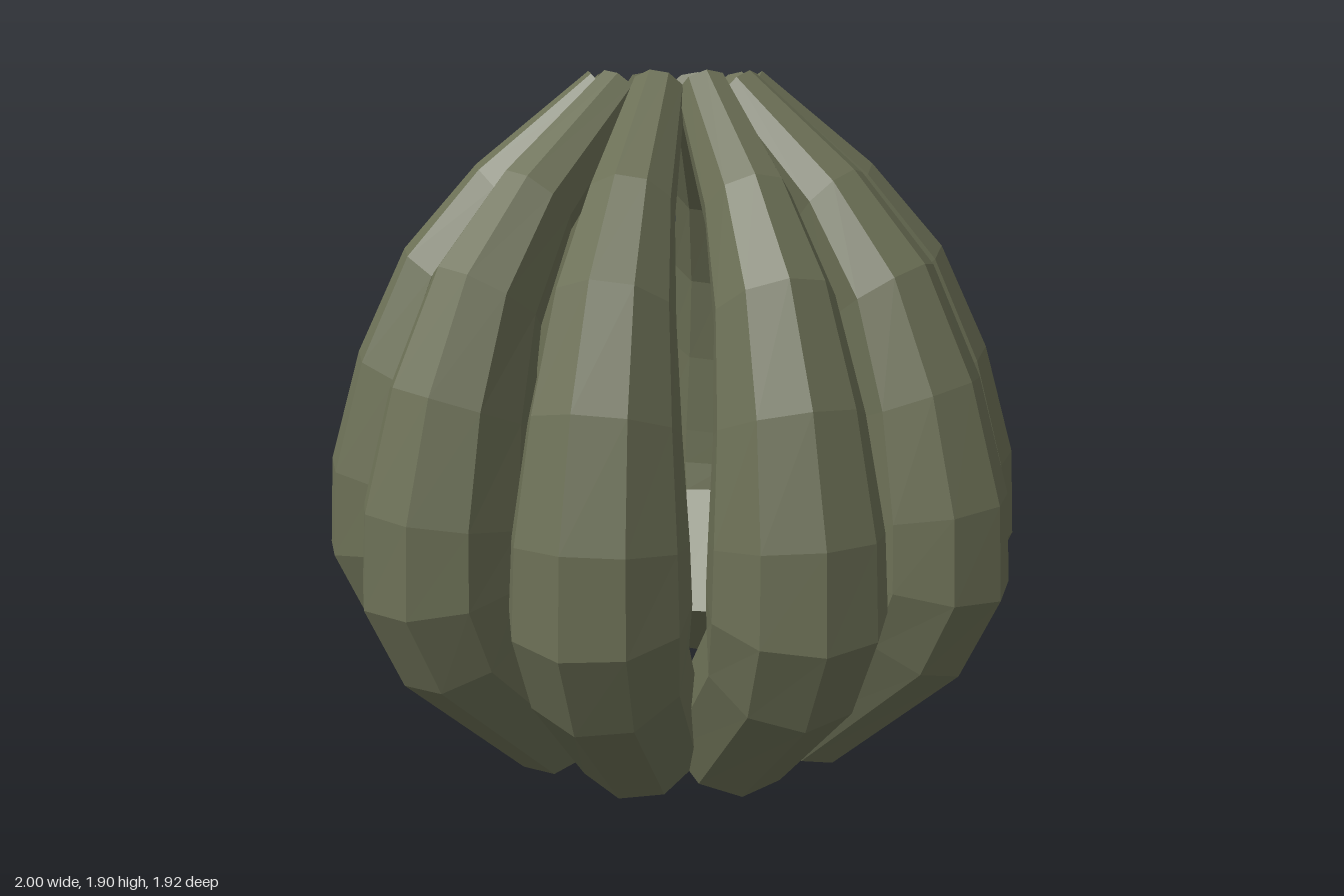
import * as THREE from 'three';

const SIDES = 9;
const LOBES = 10;
const TWIST = 8; // degrees the cross-section is turned about its own axis

// Rings of one lobe from bottom to top:
// outer edge distance from the axis, outer edge height, tilt in degrees, radius
const RINGS = [
  [0.535, 0.0, -43, 0.18],
  [0.895, 0.34, -33, 0.21],
  [1.0, 0.57, -10, 0.228],
  [0.985, 0.82, 9, 0.22],
  [0.895, 1.13, 21, 0.19],
  [0.755, 1.42, 34, 0.155],
  [0.55, 1.65, 46, 0.115],
  [0.238, 1.9, 50, 0.073],
];

// Tapered, curved tube with closed ends, lying in the x-y plane
function lobeGeometry() {
  const positions = [];
  const index = [];
  const centres = [];
  for (const [outer, y, tilt, r] of RINGS) {
    const t = THREE.MathUtils.degToRad(tilt);
    const nx = Math.cos(t), ny = Math.sin(t);
    const cx = outer - r * nx, cy = y - r * ny;
    centres.push([cx, cy, 0]);
    for (let j = 0; j < SIDES; j++) {
      const a = (j / SIDES) * Math.PI * 2 + THREE.MathUtils.degToRad(TWIST);
      const u = r * Math.cos(a);
      positions.push(cx + u * nx, cy + u * ny, r * Math.sin(a));
    }
  }
  const last = RINGS.length - 1;
  const bottom = RINGS.length * SIDES;
  const top = bottom + 1;
  positions.push(...centres[0], ...centres[last]);

  for (let j = 0; j < SIDES; j++) {
    const k = (j + 1) % SIDES;
    for (let i = 0; i < last; i++) {
      const a = i * SIDES + j, b = i * SIDES + k;
      const c = a + SIDES, d = b + SIDES;
      index.push(a, c, b, b, c, d);
    }
    // end caps
    index.push(bottom, j, k);
    index.push(top, last * SIDES + k, last * SIDES + j);
  }
  const geometry = new THREE.BufferGeometry();
  geometry.setAttribute('position', new THREE.Float32BufferAttribute(positions, 3));
  geometry.setIndex(index);
  const flat = geometry.toNonIndexed();
  flat.computeVertexNormals();
  return flat;
}

export function createModel() {
  const model = new THREE.Group();
  model.name = 'ribbedPod';
  const material = new THREE.MeshStandardMaterial({ color: 0x6b6f55, flatShading: true });
  const geometry = lobeGeometry();

  // Ring of identical lobes around the open centre
  for (let i = 0; i < LOBES; i++) {
    const lobe = new THREE.Mesh(geometry, material);
    lobe.name = `lobe${i + 1}`;
    lobe.rotation.y = (i / LOBES) * Math.PI * 2;
    model.add(lobe);
  }
  return model;
}
